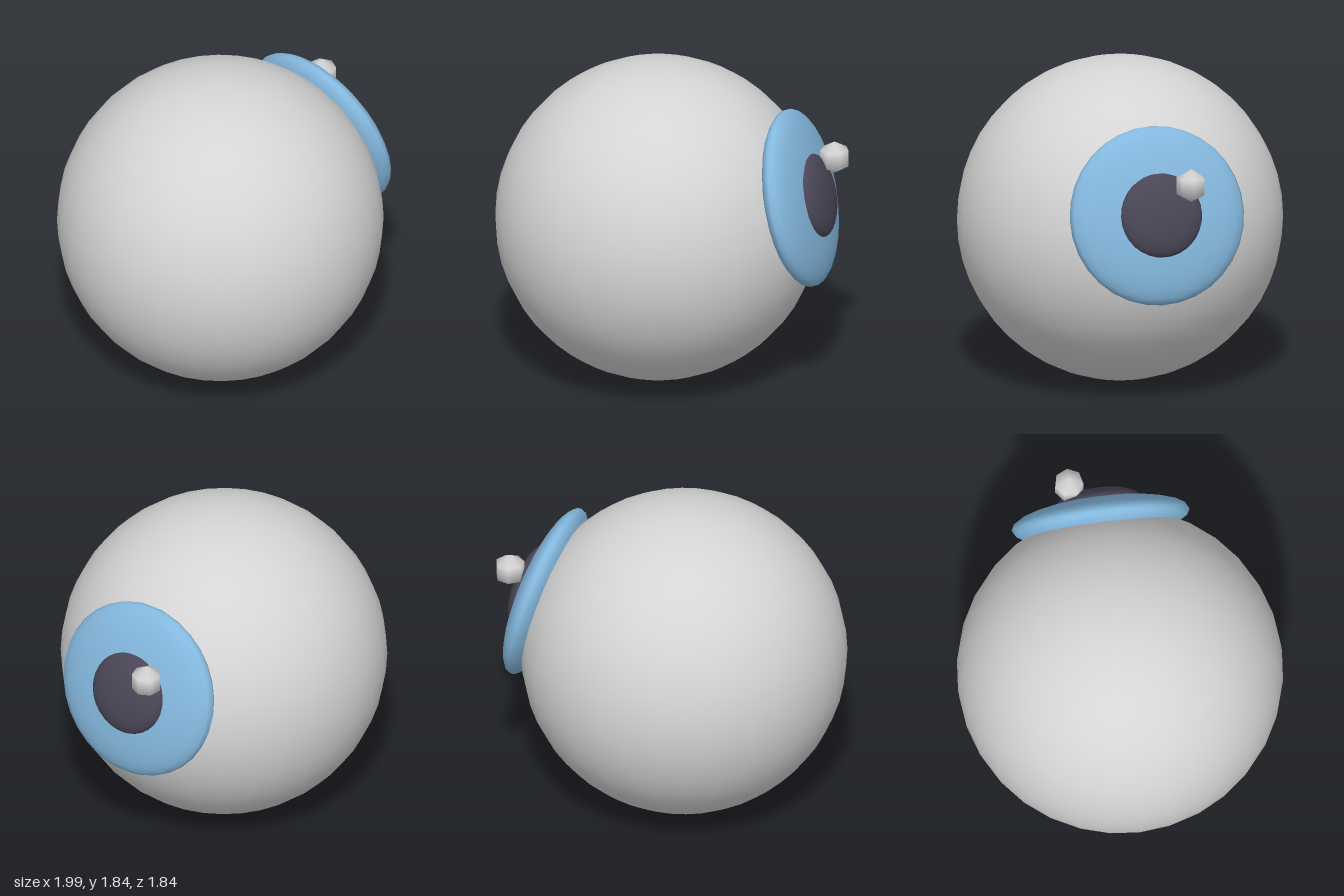
import * as THREE from 'three';

const TILT = 0.25; // gaze raised above +x
const RADIUS = 0.922;

export function createModel() {
  const model = new THREE.Group();
  model.name = 'eyeball';

  const white = new THREE.MeshStandardMaterial({ color: 0xd4d4d4 });
  white.name = 'eye white';
  const blue = new THREE.MeshStandardMaterial({ color: 0x84b8de });
  blue.name = 'iris blue';
  const dark = new THREE.MeshStandardMaterial({ color: 0x4a4657 });
  dark.name = 'pupil dark';

  // Sphere, optionally flattened along its local x axis
  function ball(name, parent, material, radius, columns, rows, flatten = 1) {
    const geometry = new THREE.SphereGeometry(radius, columns, rows);
    geometry.scale(flatten, 1, 1);
    const mesh = new THREE.Mesh(geometry, material);
    mesh.name = name;
    parent.add(mesh);
    return mesh;
  }

  // White of the eye
  const centre = new THREE.Vector3(-0.08, RADIUS, 0);
  ball('eyeWhite', model, white, RADIUS, 32, 24).position.copy(centre);

  // Iris and pupil are lens shapes strung along the gaze axis
  const gaze = new THREE.Group();
  gaze.name = 'gaze';
  gaze.position.copy(centre);
  gaze.rotation.z = TILT;
  model.add(gaze);
  ball('iris', gaze, blue, 0.507, 24, 16, 0.247).position.x = 0.862;
  ball('pupil', gaze, dark, 0.238, 24, 16, 0.32).position.x = 0.966;

  // Small faceted bead as the highlight
  const highlight = ball('highlight', model, white, 0.095, 7, 3);
  highlight.position.set(0.91, 1.338, -0.16);
  highlight.rotation.y = Math.PI;

  return model;
}
